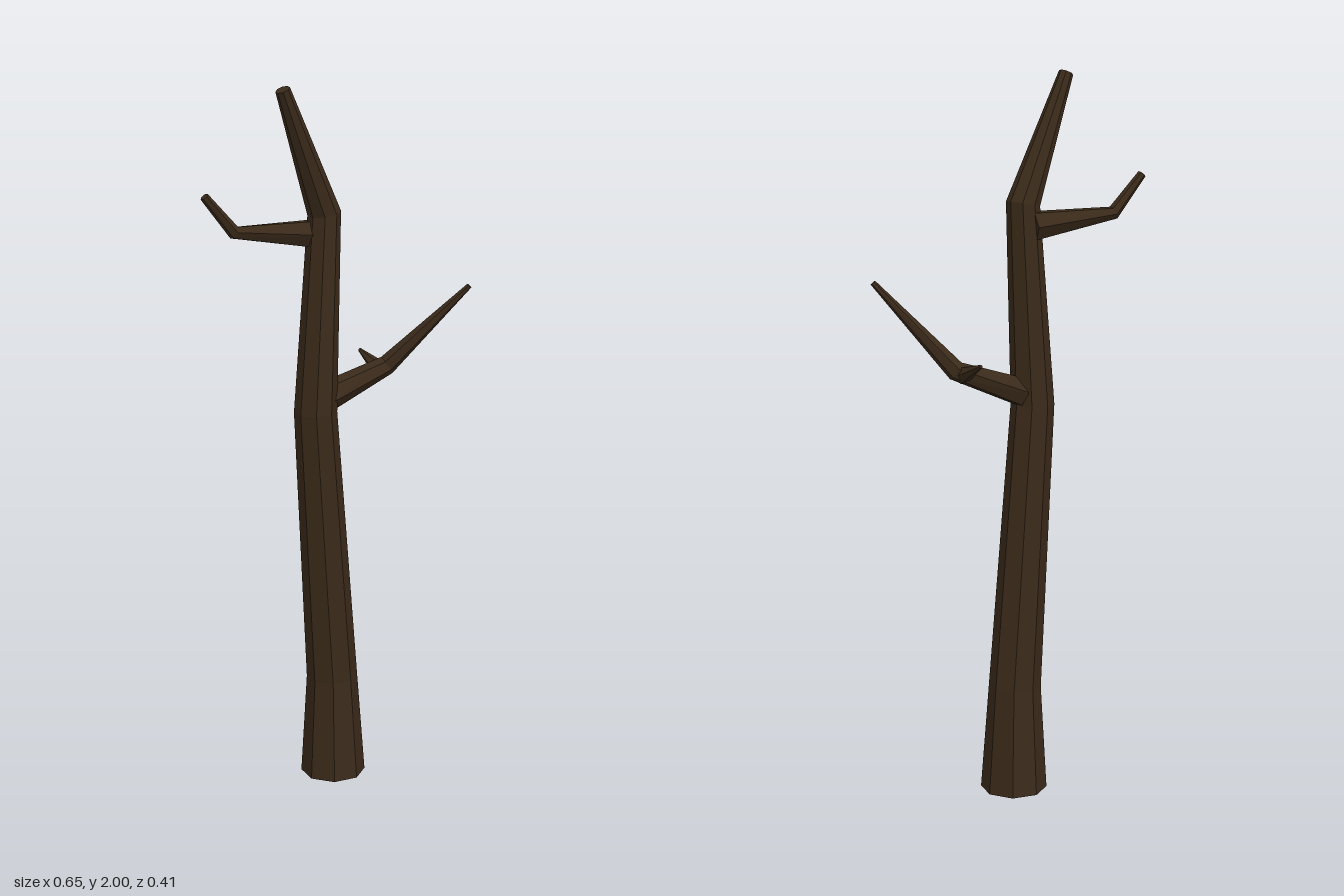
import * as THREE from 'three';

const bark = new THREE.MeshStandardMaterial({ color: 0x3a2a1a, flatShading: true, roughness: 1 });

// Tapered limb: one polygonal ring per [x, y, z, radius] station, mitred at the bends and capped.
function limb(name, stations, sides, ref, startDir) {
  const pts = stations.map(s => new THREE.Vector3(s[0], s[1], s[2]));
  const dirs = pts.slice(1).map((p, i) => p.clone().sub(pts[i]).normalize());
  const pos = [], idx = [];
  pts.forEach((p, i) => {
    const n = new THREE.Vector3();
    if (i === 0 && startDir) n.copy(startDir);
    else n.copy(dirs[i - 1] ?? dirs[i]).add(dirs[i] ?? dirs[i - 1]).normalize();
    const u = ref.clone().addScaledVector(n, -ref.dot(n)).normalize();
    const v = n.clone().cross(u);
    for (let j = 0; j < sides; j++) {
      const a = (j / sides) * Math.PI * 2, r = stations[i][3];
      const q = p.clone().addScaledVector(u, r * Math.cos(a)).addScaledVector(v, r * Math.sin(a));
      pos.push(q.x, q.y, q.z);
    }
  });
  // Sides
  const last = (pts.length - 1) * sides;
  for (let i = 0; i < last; i += sides) {
    for (let j = 0; j < sides; j++) {
      const k = (j + 1) % sides;
      idx.push(i + j, i + k, i + sides + j, i + k, i + sides + k, i + sides + j);
    }
  }
  // End caps
  for (let j = 1; j < sides - 1; j++) {
    idx.push(0, j + 1, j, last, last + j, last + j + 1);
  }
  const geo = new THREE.BufferGeometry();
  geo.setAttribute('position', new THREE.Float32BufferAttribute(pos, 3));
  geo.setIndex(idx);
  const flat = geo.toNonIndexed();
  flat.computeVertexNormals();
  const mesh = new THREE.Mesh(flat, bark);
  mesh.name = name;
  return mesh;
}

export function createModel() {
  const X = new THREE.Vector3(1, 0, 0), Y = new THREE.Vector3(0, 1, 0), Z = new THREE.Vector3(0, 0, 1);
  const tree = new THREE.Group();
  tree.name = 'deadTree';

  // Crooked trunk, leaning over at the top
  tree.add(limb('trunk', [
    [0.042, 0, -0.064, 0.093],
    [0.038, 0.3, -0.064, 0.073],
    [-0.026, 1.1, -0.066, 0.06],
    [0.01, 1.65, -0.065, 0.046],
    [-0.147, 1.991, -0.067, 0.02],
  ], 8, X, Y));

  // Lower branch on the left, sweeping forward and up
  tree.add(limb('lowerBranch', [
    [-0.02, 1.125, -0.072, 0.045],
    [0.187, 1.208, 0.01, 0.028],
    [0.317, 1.44, 0.197, 0.008],
  ], 6, Z));

  // Short spur pointing backward from the lower branch's elbow
  tree.add(limb('spur', [
    [0.172, 1.195, 0.0, 0.025],
    [0.193, 1.235, -0.097, 0.005],
  ], 6, X));

  // Upper branch on the right, bending up at its end
  tree.add(limb('upperBranch', [
    [0.0, 1.592, -0.09, 0.042],
    [-0.236, 1.616, -0.164, 0.019],
    [-0.318, 1.718, -0.191, 0.012],
  ], 6, Z));

  return tree;
}
